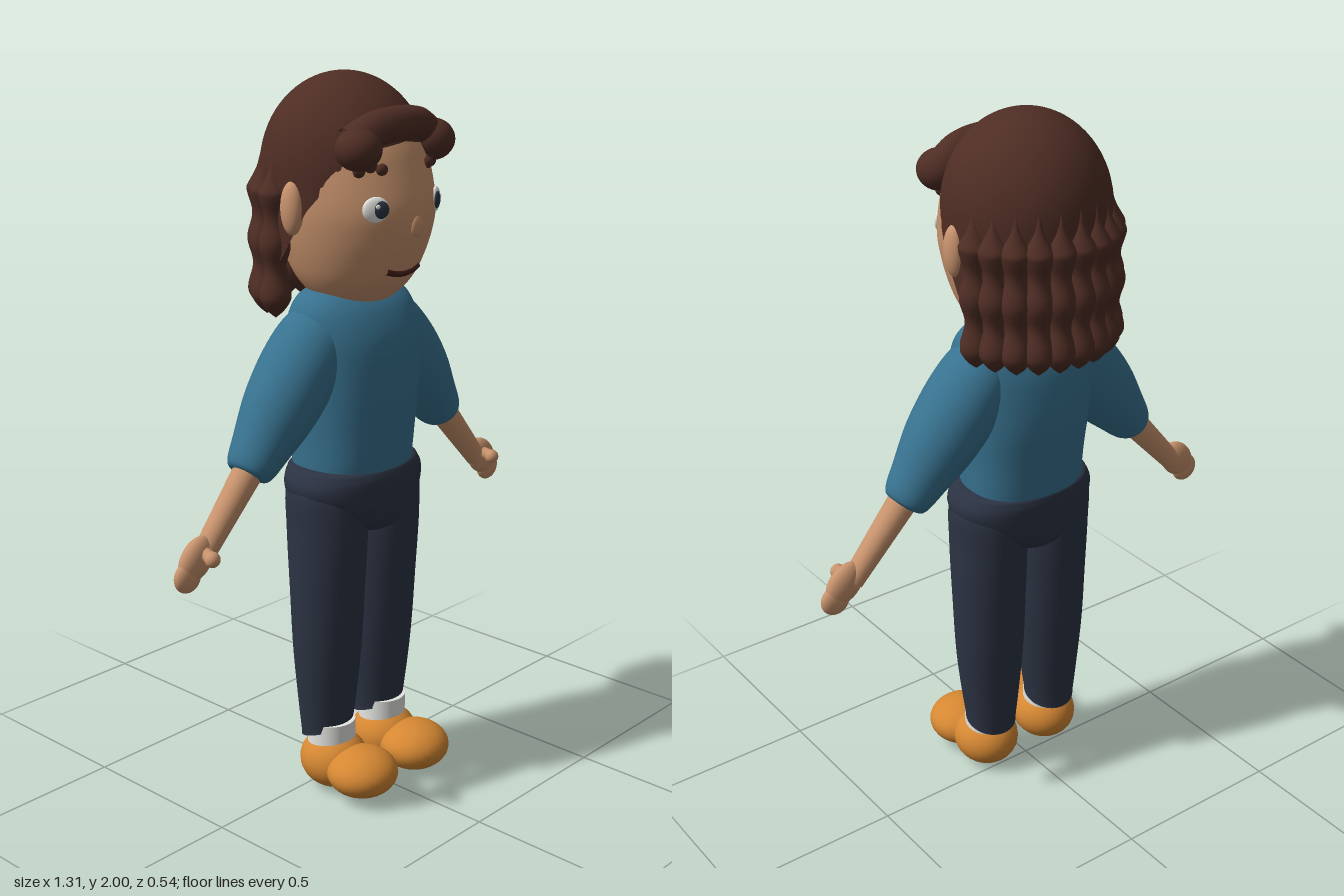
import * as THREE from 'three';
import { mergeVertices } from 'three/addons/utils/BufferGeometryUtils.js';

const mat = (name, color, side = THREE.FrontSide) => {
  const m = new THREE.MeshStandardMaterial({ color, side });
  m.name = name;
  return m;
};

// Bends a grid by a rule f(u, v) -> [x, y, z], with smooth joined normals
function surface(f, nu, nv) {
  const g = new THREE.PlaneGeometry(1, 1, nu, nv);
  const p = g.attributes.position;
  for (let i = 0; i < p.count; i++) p.setXYZ(i, ...f(p.getX(i) + 0.5, p.getY(i) + 0.5));
  g.deleteAttribute('uv');
  g.deleteAttribute('normal');
  const merged = mergeVertices(g, 1e-5);
  merged.computeVertexNormals();
  return merged;
}

// Smooth interpolation through rows [y, halfWidth, zFront, zBack]
function sample(rows, t) {
  const n = rows.length - 1, s = Math.min(t * n, n - 1e-6), i = Math.floor(s), f = s - i;
  const row = k => rows[Math.max(0, Math.min(n, k))];
  const [a, b, c, d] = [row(i - 1), row(i), row(i + 1), row(i + 2)];
  return b.map((_, k) => b[k] + 0.5 * f * (c[k] - a[k] + f * (2 * a[k] - 5 * b[k] + 4 * c[k] - d[k]
    + f * (3 * (b[k] - c[k]) + d[k] - a[k]))));
}

// Lofted body part, rows from bottom to top
function loft(rows, cz = 0, power = 1, seg = 40) {
  const pw = v => Math.sign(v) * Math.abs(v) ** power;
  return surface((u, v) => {
    const [y, rx, zf, zb] = sample(rows, v);
    const a = (u * 2 - 1) * Math.PI, s = pw(Math.sin(a)), c = pw(Math.cos(a));
    return [Math.max(0, rx) * s, y, cz + c * Math.max(0, c > 0 ? zf - cz : cz - zb)];
  }, seg, (rows.length - 1) * 5);
}

const HEAD = [[1.385, 0.001, 0.031, 0.029], [1.392, 0.06, 0.085, -0.03], [1.42, 0.115, 0.14, -0.08],
  [1.47, 0.155, 0.19, -0.13], [1.53, 0.18, 0.222, -0.16], [1.6, 0.198, 0.245, -0.18],
  [1.67, 0.207, 0.252, -0.195], [1.76, 0.205, 0.228, -0.2], [1.83, 0.19, 0.2, -0.19],
  [1.9, 0.14, 0.15, -0.15], [1.94, 0.001, 0.031, 0.029]];

// Depth of the face surface at x, y
function faceZ(x, y) {
  let lo = 0, hi = 1;
  for (let i = 0; i < 24; i++) {
    const m = (lo + hi) / 2;
    if (sample(HEAD, m)[0] < y) lo = m; else hi = m;
  }
  const [, rx, zf] = sample(HEAD, lo);
  return 0.03 + (zf - 0.03) * Math.sqrt(Math.max(0, 1 - (x / rx) ** 2));
}

export function createModel() {
  const model = new THREE.Group();
  model.name = 'standingPerson';
  const skin = mat('skin', 0xc8936d), hair = mat('hair brown', 0x4e2d24, THREE.DoubleSide);
  const shirt = mat('shirt blue', 0x38728f), trousers = mat('trousers navy', 0x2c3343);
  const shoe = mat('shoe orange', 0xd68833), white = mat('white', 0xe6e6e2);
  const iris = mat('iris slate', 0x2c3644), lip = mat('mouth dark', 0x45201a);

  const add = (parent, name, geo, m) => {
    const mesh = new THREE.Mesh(geo, m);
    mesh.name = name;
    parent.add(mesh);
    return mesh;
  };
  const ball = (parent, name, m, pos, r) => {
    const b = add(parent, name, new THREE.SphereGeometry(1, 28, 20), m);
    b.position.set(...pos);
    b.scale.set(...r);
    return b;
  };
  const tube = (parent, name, m, pts, r) => add(parent, name, new THREE.TubeGeometry(
    new THREE.CatmullRomCurve3(pts.map(p => new THREE.Vector3(...p))), 28, r, 14), m);

  // Head, neck, mouth and nose
  add(model, 'head', loft(HEAD, 0.03), skin);
  add(model, 'neck', new THREE.CylinderGeometry(0.075, 0.08, 0.16, 28), skin).position.set(0, 1.4, 0);
  ball(model, 'nose', skin, [0, 1.625, faceZ(0, 1.625) - 0.004], [0.022, 0.03, 0.012]);
  tube(model, 'mouth', lip, [-0.062, -0.035, 0, 0.035, 0.062].map(x => {
    const y = 1.495 + x * x * 3;
    return [x, y, faceZ(x, y) - 0.002];
  }), 0.009);

  // Hair cap: dome with a hairline that drops behind the ears
  const line = [[0, 1.835], [0.5, 1.82], [0.9, 1.76], [1.3, 1.66], [1.6, 1.55], [1.9, 1.46], [3.15, 1.44]];
  const hairline = a => {
    const i = Math.max(1, line.findIndex(p => p[0] >= a));
    const [p, q] = [line[i - 1], line[i]];
    return p[1] + (q[1] - p[1]) * (a - p[0]) / (q[0] - p[0]);
  };
  add(model, 'hairCap', surface((u, v) => {
    const a = (u * 2 - 1) * Math.PI, yb = hairline(Math.abs(a));
    const end = yb >= 1.75 ? Math.acos((yb - 1.75) / 0.25) : Math.PI / 2 + (1.75 - yb) / 0.25;
    const t = (1 - v) * end, dome = t < Math.PI / 2, r = dome ? Math.sin(t) : 1;
    const y = dome ? 1.75 + 0.25 * Math.cos(t) : 1.75 - 0.25 * (t - Math.PI / 2);
    return [0.22 * r * Math.sin(a), y, -0.005 + 0.225 * r * Math.cos(a)];
  }, 64, 32), hair);

  // Rolled fringe
  tube(model, 'fringeRoll', hair, [[-0.15, 1.835, 0.155], [-0.08, 1.868, 0.172], [0, 1.875, 0.178],
    [0.08, 1.868, 0.172], [0.15, 1.835, 0.155]], 0.047);

  // Wavy locks hanging around the back
  const lockRows = [];
  for (let k = 0; k <= 26; k++) {
    const y = 1.37 + k * 0.0165;
    const ends = Math.sqrt(Math.max(0, Math.min(1, k / 2.5))) * Math.min(1, (26 - k) / 6);
    const r = 0.001 + ends * (0.034 + 0.007 * Math.cos((y - 1.43) / 0.135 * Math.PI * 2));
    lockRows.push([y, r, r, -r]);
  }
  const lockGeo = loft(lockRows, 0, 1, 16);
  for (let i = 0; i < 11; i++) {
    const a = 1.83 + i * (2 * Math.PI - 3.66) / 10;
    add(model, 'hairLock', lockGeo, hair).position.set(0.212 * Math.sin(a), 0, -0.005 + 0.22 * Math.cos(a));
  }

  // Shirt body
  add(model, 'shirtBody', loft([[0.93, 0.001, 0.021, 0.019], [0.932, 0.16, 0.155, -0.108],
    [0.95, 0.17, 0.17, -0.118], [1.05, 0.176, 0.182, -0.13], [1.18, 0.188, 0.191, -0.145],
    [1.3, 0.198, 0.183, -0.13], [1.38, 0.195, 0.15, -0.1], [1.425, 0.165, 0.11, -0.08],
    [1.443, 0.11, 0.07, -0.05], [1.445, 0.001, 0.021, 0.019]], 0.02, 0.87), shirt);

  // Trouser seat
  add(model, 'trouserSeat', loft([[0.765, 0.001, 0.031, 0.029], [0.772, 0.07, 0.135, -0.075],
    [0.8, 0.125, 0.172, -0.112], [0.85, 0.19, 0.182, -0.12], [0.9, 0.215, 0.182, -0.122],
    [0.94, 0.204, 0.176, -0.122], [0.958, 0.172, 0.15, -0.1], [0.96, 0.001, 0.031, 0.029]], 0.03, 0.9), trousers);

  // Trouser leg, with a hem that dips to the back
  const legGeo = loft([[0.18, 0.001, 0.031, 0.029], [0.181, 0.07, 0.092, -0.035], [0.19, 0.077, 0.1, -0.042],
    [0.4, 0.1, 0.12, -0.06], [0.6, 0.106, 0.135, -0.072], [0.78, 0.107, 0.148, -0.085],
    [0.9, 0.105, 0.14, -0.085], [0.95, 0.06, 0.09, -0.04], [0.955, 0.001, 0.031, 0.029]], 0.03);
  const lp = legGeo.attributes.position;
  for (let i = 0; i < lp.count; i++) {
    const fade = Math.max(0, 1 - (lp.getY(i) - 0.18) / 0.15);
    lp.setY(i, lp.getY(i) + fade * 0.32 * (lp.getZ(i) - 0.04));
  }
  legGeo.computeVertexNormals();

  const sleeveGeo = loft([[-0.42, 0.001, 0.001, -0.001], [-0.418, 0.04, 0.045, -0.045],
    [-0.4, 0.062, 0.066, -0.066], [-0.33, 0.08, 0.08, -0.08], [-0.22, 0.103, 0.1, -0.1],
    [-0.1, 0.108, 0.108, -0.108], [0, 0.095, 0.1, -0.1], [0.06, 0.065, 0.07, -0.07], [0.09, 0.001, 0.001, -0.001]]);

  // Paired parts, built on +x and mirrored
  for (const side of [1, -1]) {
    const half = new THREE.Group();
    half.name = side > 0 ? 'leftSide' : 'rightSide';
    half.scale.x = side;
    model.add(half);

    // Face side: ear, eye, brow and hair puff
    ball(half, 'ear', skin, [0.215, 1.668, 0.012], [0.026, 0.07, 0.034]);
    const eye = new THREE.Group();
    eye.name = 'eye';
    eye.position.set(0.117, 1.675, faceZ(0.117, 1.675) - 0.002);
    eye.rotation.y = 0.5;
    half.add(eye);
    ball(eye, 'eyeWhite', white, [0, 0, 0], [0.036, 0.033, 0.012]);
    ball(eye, 'iris', iris, [-0.011, 0, 0.006], [0.023, 0.023, 0.009]);
    ball(eye, 'eyeGlint', white, [-0.002, 0.009, 0.013], [0.006, 0.006, 0.003]);
    for (const [x, y, r] of [[0.088, 1.772, 0.018], [0.112, 1.782, 0.021], [0.138, 1.77, 0.02]])
      ball(half, 'eyebrow', hair, [x, y, faceZ(x, y)], [r, r * 0.85, 0.013]);
    ball(half, 'fringePuff', hair, [0.143, 1.825, 0.175], [0.062, 0.055, 0.06]);

    // Arm
    const sleeve = add(half, 'sleeve', sleeveGeo, shirt);
    sleeve.position.set(0.133, 1.32, 0.015);
    sleeve.rotation.z = 0.68;
    const forearm = add(half, 'forearm', new THREE.CylinderGeometry(0.042, 0.03, 0.29, 24), skin);
    forearm.position.set(0.465, 0.925, 0.018);
    forearm.rotation.z = 0.73;
    ball(half, 'palm', skin, [0.583, 0.817, 0.02], [0.048, 0.066, 0.03]).rotation.z = 0.75;
    ball(half, 'fingers', skin, [0.615, 0.777, 0.02], [0.042, 0.042, 0.023]);
    tube(half, 'thumb', skin, [[0.565, 0.84, 0.02], [0.57, 0.832, 0.045], [0.573, 0.827, 0.07]], 0.018);
    ball(half, 'thumbTip', skin, [0.573, 0.826, 0.07], [0.021, 0.021, 0.02]);

    // Leg and foot
    add(half, 'trouserLeg', legGeo, trousers).position.x = 0.108;
    add(half, 'sock', new THREE.CylinderGeometry(0.068, 0.068, 0.11, 28), white).position.set(0.108, 0.15, 0.045);
    ball(half, 'shoeHeel', shoe, [0.108, 0.084, 0.055], [0.094, 0.084, 0.1]);
    ball(half, 'shoeToe', shoe, [0.112, 0.08, 0.168], [0.102, 0.068, 0.1]);
  }
  return model;
}
